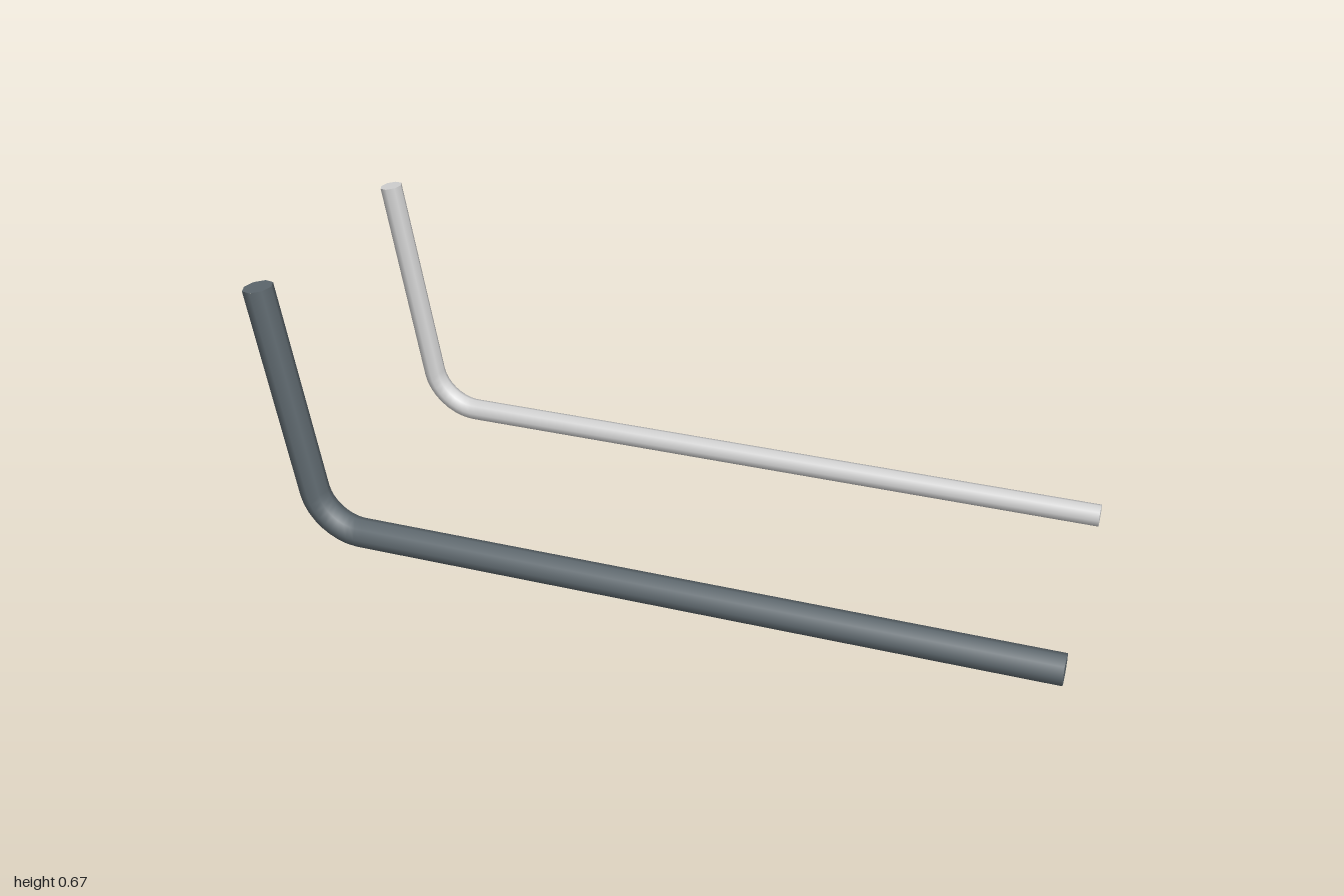
import * as THREE from 'three';

// A capped round rod: long straight run, rounded bend, short upright run.
function bentRod(name, material, radius, longEnd, corner, shortEnd) {
  const rod = new THREE.Group();
  rod.name = name;
  const bend = 0.1; // distance from corner to the start of the bend
  const toLong = longEnd.clone().sub(corner).normalize();
  const toShort = shortEnd.clone().sub(corner).normalize();
  const at = (dir, d) => corner.clone().addScaledVector(dir, d);

  const path = new THREE.CurvePath();
  path.add(new THREE.LineCurve3(longEnd, at(toLong, bend)));
  path.add(new THREE.CubicBezierCurve3(
    at(toLong, bend), at(toLong, bend * 0.45), at(toShort, bend * 0.45), at(toShort, bend)));
  path.add(new THREE.LineCurve3(at(toShort, bend), shortEnd));

  const shaft = new THREE.Mesh(new THREE.TubeGeometry(path, 120, radius, 8, false), material);
  shaft.name = name + 'Shaft';
  rod.add(shaft);

  // Flat end caps
  for (const [label, end, dir] of [['LongCap', longEnd, toLong], ['ShortCap', shortEnd, toShort]]) {
    const cap = new THREE.Mesh(new THREE.CircleGeometry(radius, 8), material);
    cap.name = name + label;
    cap.position.copy(end);
    cap.lookAt(end.clone().add(dir));
    rod.add(cap);
  }
  return rod;
}

export function createModel() {
  const model = new THREE.Group();
  model.name = 'bentRods';
  const darkGrey = new THREE.MeshStandardMaterial({ color: 0x5e686e });
  darkGrey.name = 'darkGrey';
  const lightGrey = new THREE.MeshStandardMaterial({ color: 0xd2d2d2 });
  lightGrey.name = 'lightGrey';
  const v = (x, y, z) => new THREE.Vector3(x, y, z);

  // Thick dark rod in front, thinner light rod behind
  model.add(bentRod('thickRod', darkGrey, 0.036,
    v(0.988, 0.045, 0.107), v(-0.737, 0.045, 0.497), v(-0.83, 0.667, 0.518)));
  model.add(bentRod('thinRod', lightGrey, 0.028,
    v(0.843, 0.03, -0.526), v(-0.877, 0.03, -0.137), v(-0.97, 0.654, -0.115)));
  return model;
}
